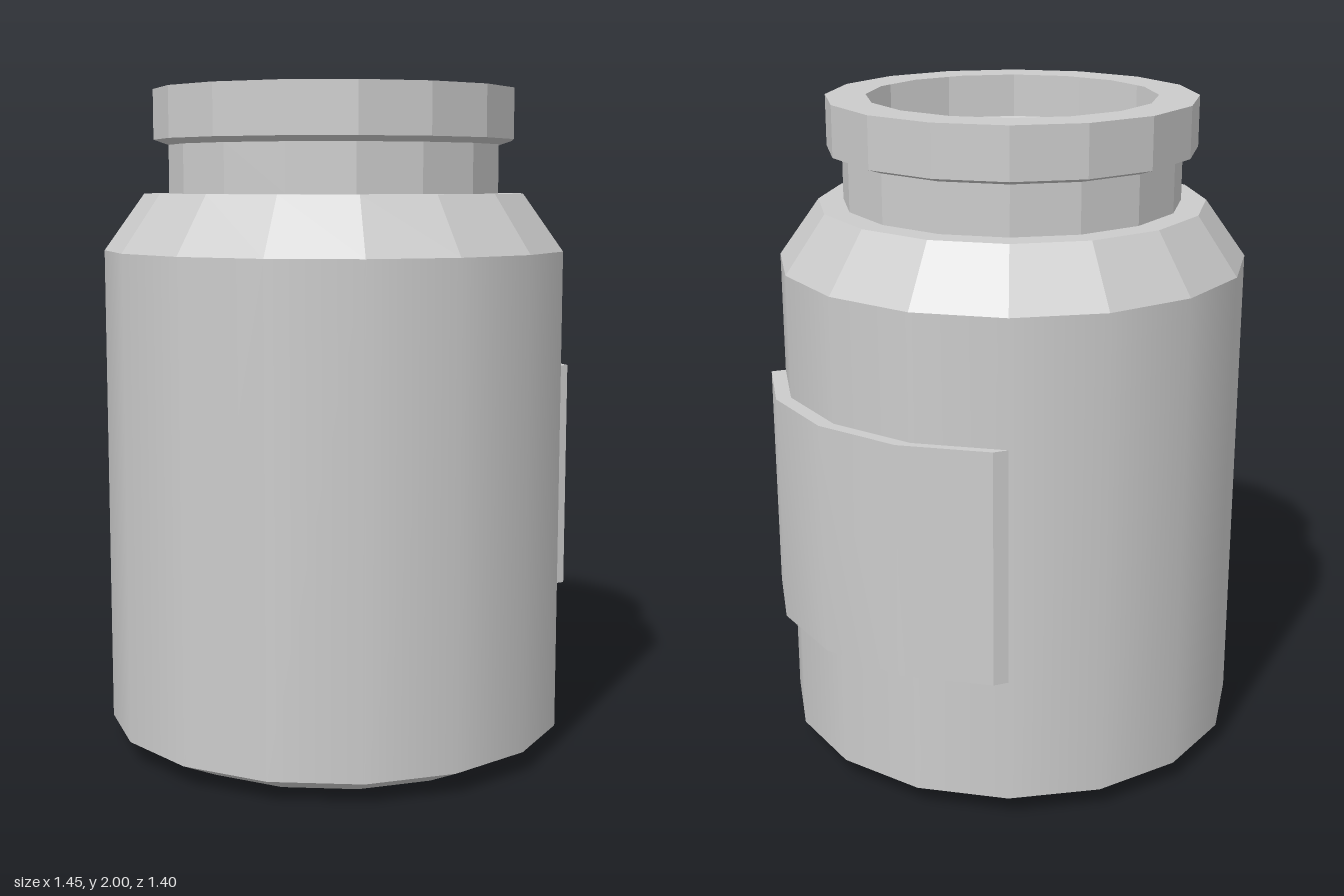
import * as THREE from 'three';
import { toCreasedNormals } from 'three/addons/utils/BufferGeometryUtils.js';

const SIDES = 16;
const RADIUS = 0.702;
const CENTRE_X = -0.023;

export function createModel() {
  const group = new THREE.Group();
  const smooth = new THREE.MeshStandardMaterial({ color: 0xcccccc, side: THREE.DoubleSide });
  const faceted = new THREE.MeshStandardMaterial({ color: 0xcccccc, side: THREE.DoubleSide, flatShading: true });

  function add(name, geometry, material) {
    const mesh = new THREE.Mesh(geometry, material);
    mesh.name = name;
    mesh.position.x = CENTRE_X;
    group.add(mesh);
    return mesh;
  }

  // Faceted ring turned from [radius, height] points, listed from bottom to top
  function turned(name, profile) {
    const points = profile.map(([r, y]) => new THREE.Vector2(r, y));
    const geometry = new THREE.LatheGeometry(points, SIDES).toNonIndexed();
    geometry.computeVertexNormals();
    return add(name, geometry, faceted);
  }

  // Base with a shallow raised centre and a bevelled rim
  turned('base', [[0, 0.02], [0.385, 0.02], [0.47, 0], [0.565, 0], [RADIUS, 0.065]]);

  // Smooth thin wall
  const wall = new THREE.CylinderGeometry(RADIUS, RADIUS, 1.455, SIDES, 1, true);
  wall.translate(0, 0.065 + 1.455 / 2, 0);
  add('bodyWall', wall, smooth);

  // Sloping shoulder with a flat ledge, neck, and open lip
  turned('shoulder', [[RADIUS, 1.52], [0.58, 1.69], [0.505, 1.69]]);
  turned('neck', [[0.505, 1.69], [0.505, 1.835]]);
  turned('lip', [[0.505, 1.835], [0.55, 1.85], [0.55, 2], [0.43, 2]]);

  // Label: four wall facets pushed out sideways
  const inner = [];
  for (let k = -1; k <= 3; k++) {
    const a = (k * 2 * Math.PI) / SIDES;
    inner.push(new THREE.Vector2(RADIUS * Math.cos(a), RADIUS * Math.sin(a)));
  }
  const outer = inner.map((p) => new THREE.Vector2(p.x + 0.045, p.y));
  const shape = new THREE.Shape([...outer, ...inner.reverse()]);
  const label = new THREE.ExtrudeGeometry(shape, { depth: 0.705, bevelEnabled: false });
  label.rotateX(-Math.PI / 2);
  label.translate(0, 0.445, 0);
  add('label', toCreasedNormals(label, 0.5), smooth);

  return group;
}
